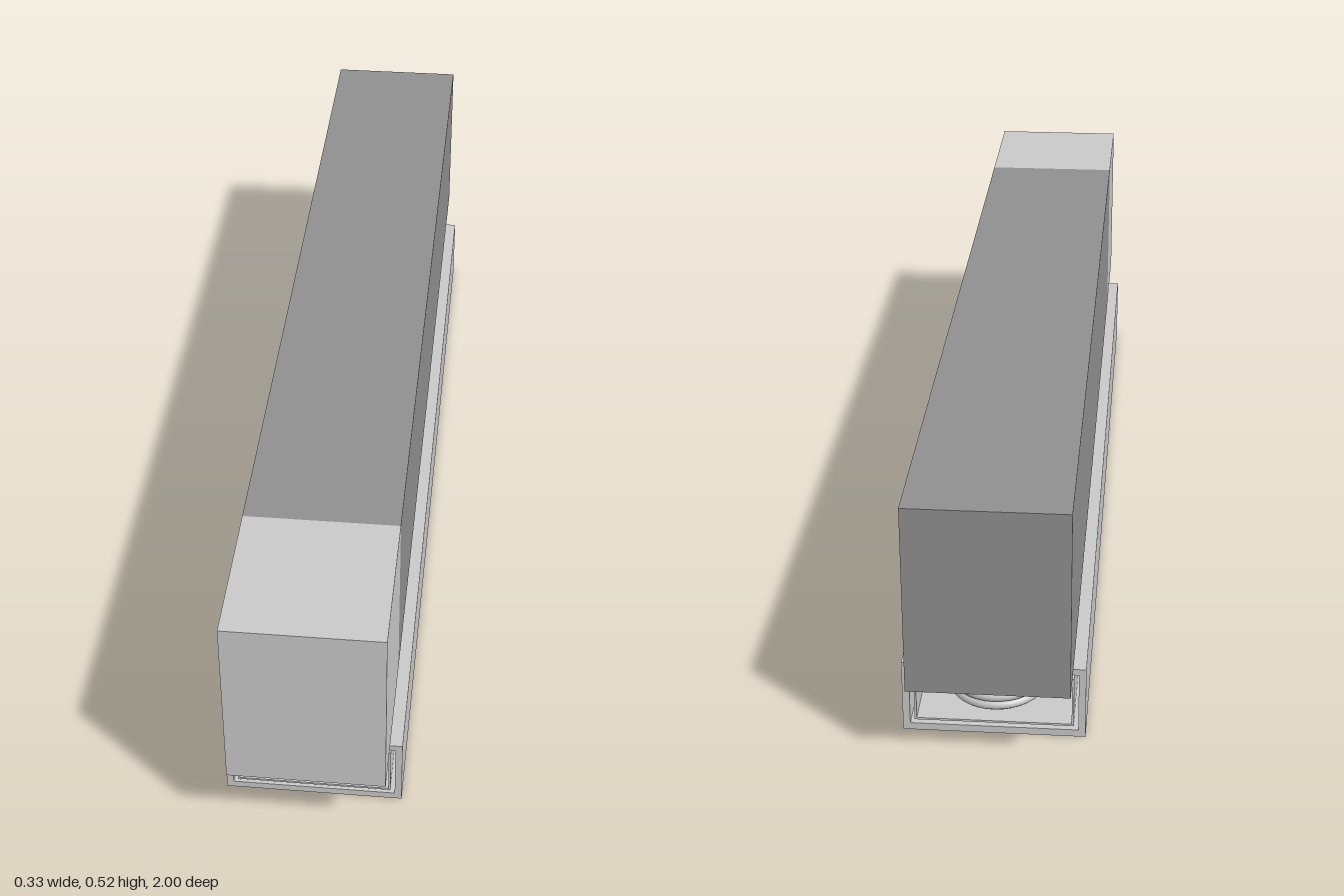
import * as THREE from 'three';

const LENGTH = 1.78;

// Extrudes a left-right symmetric profile, given by its +x half, along z.
function symmetricRail(name, half, material) {
  const mirrored = half.map(([x, y]) => [-x, y]).reverse();
  const shape = new THREE.Shape([...half, ...mirrored].map(([x, y]) => new THREE.Vector2(x, y)));
  const geometry = new THREE.ExtrudeGeometry(shape, { depth: LENGTH, bevelEnabled: false });
  geometry.translate(0, 0, -LENGTH / 2);
  const mesh = new THREE.Mesh(geometry, material);
  mesh.name = name;
  return mesh;
}

function block(name, z0, z1, material) {
  const mesh = new THREE.Mesh(new THREE.BoxGeometry(0.284, 0.358, z1 - z0), material);
  mesh.position.set(0, 0.338, (z0 + z1) / 2);
  mesh.name = name;
  return mesh;
}

// Helix rising counter-clockwise about the y axis
class Helix extends THREE.Curve {
  getPoint(t, target = new THREE.Vector3()) {
    const a = t * Math.PI * 2 * 3.8;
    return target.set(0.08 * Math.sin(a), 0.031 + 0.066 * t, 0.08 * Math.cos(a));
  }
}

export function createModel() {
  const light = new THREE.MeshStandardMaterial({ color: 0xc8c8c8 });
  light.name = 'light grey';
  const dark = new THREE.MeshStandardMaterial({ color: 0x8f8f8f });
  dark.name = 'dark grey';

  const model = new THREE.Group();
  model.name = 'springRail';

  // Long block with a light front end
  model.add(block('mainBlock', -1, 0.71, dark), block('frontBlock', 0.71, 1, light));

  // Outer C-shaped channel
  model.add(symmetricRail('channel', [
    [0.164, 0], [0.164, 0.143], [0.044, 0.143], [0.044, 0.131], [0.151, 0.131], [0.151, 0.014],
  ], light));

  // Thin sheet liner with upturned lips
  model.add(symmetricRail('liner', [
    [0.143, 0.022], [0.143, 0.122], [0.036, 0.122], [0.036, 0.143],
    [0.033, 0.143], [0.033, 0.118], [0.139, 0.118], [0.139, 0.026],
  ], light));

  // T-shaped carrier holding the block
  model.add(symmetricRail('carrier', [
    [0.135, 0.098], [0.135, 0.115], [0.028, 0.115], [0.028, 0.158],
  ], light));

  // Two rows of guide pins
  const pins = new THREE.Group();
  pins.name = 'guidePins';
  const pinGeometry = new THREE.CylinderGeometry(0.017, 0.017, 0.033, 20);
  for (const side of [-1, 1]) {
    for (let i = 0; i < 19; i++) {
      const pin = new THREE.Mesh(pinGeometry, light);
      pin.position.set(side * 0.093, 0.1305, 0.857 - i * 0.0905);
      pin.name = 'guidePin';
      pins.add(pin);
    }
  }
  model.add(pins);

  // Row of compression springs with rounded wire ends
  const springs = new THREE.Group();
  springs.name = 'springs';
  const curve = new Helix();
  const wire = new THREE.TubeGeometry(curve, 130, 0.009, 10);
  const cap = new THREE.SphereGeometry(0.009, 10, 6);
  for (let i = 0; i < 9; i++) {
    const spring = new THREE.Group();
    spring.name = 'spring';
    const coil = new THREE.Mesh(wire, light);
    coil.name = 'coil';
    spring.add(coil);
    for (const t of [0, 1]) {
      const end = new THREE.Mesh(cap, light);
      end.position.copy(curve.getPoint(t));
      end.name = 'wireEnd';
      spring.add(end);
    }
    spring.position.z = (i - 4) * 0.195;
    springs.add(spring);
  }
  model.add(springs);

  return model;
}
